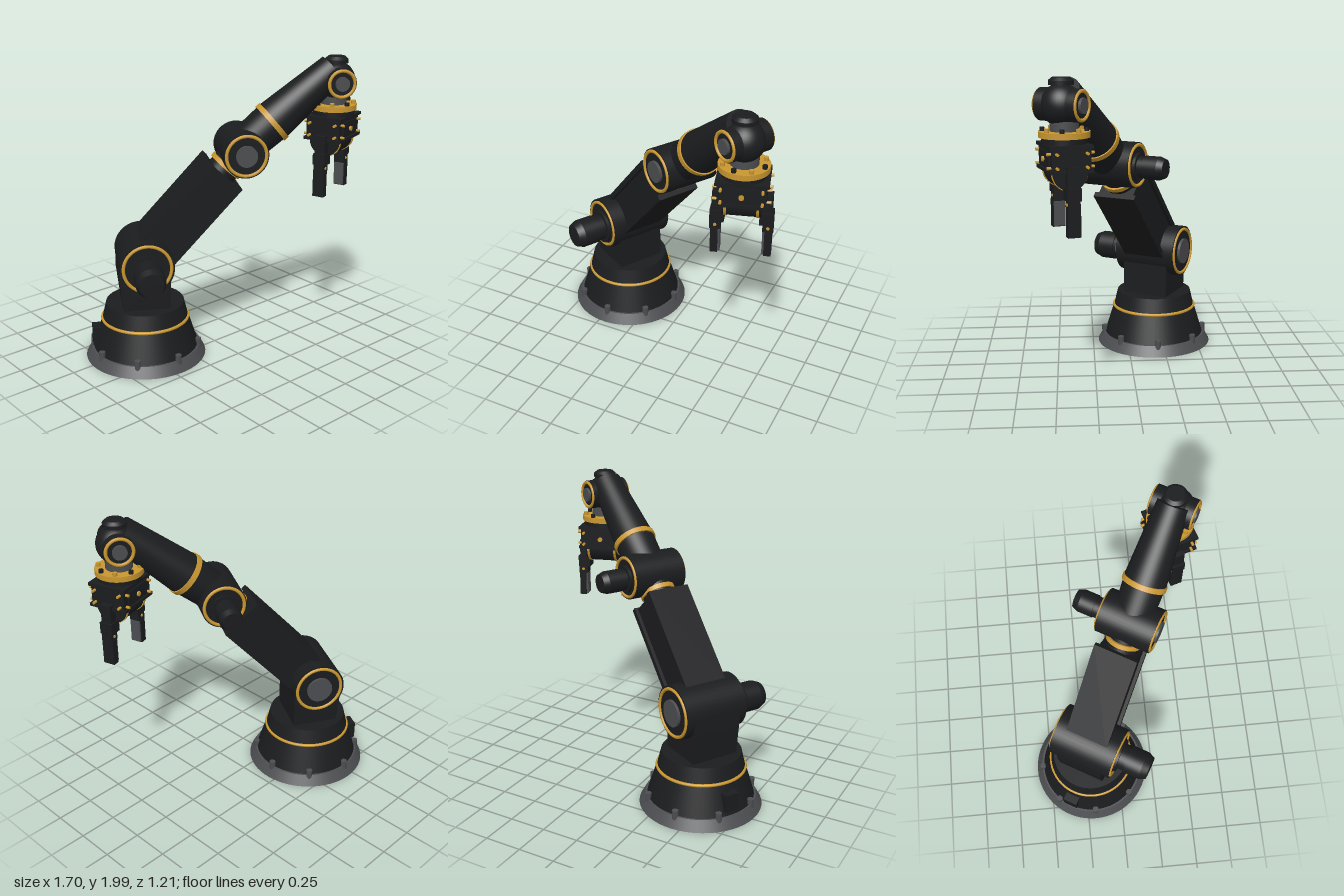
import * as THREE from 'three';

const dark = new THREE.MeshStandardMaterial({ color: 0x1b1c1e });
const gold = new THREE.MeshStandardMaterial({ color: 0xc8962f });
const grey = new THREE.MeshStandardMaterial({ color: 0x4c4d50 });

function add(parent, name, geometry, material, x = 0, y = 0, z = 0) {
  const mesh = new THREE.Mesh(geometry, material);
  mesh.name = name;
  mesh.position.set(x, y, z);
  parent.add(mesh);
  return mesh;
}

function group(parent, name, x = 0, y = 0, z = 0) {
  const g = new THREE.Group();
  g.name = name;
  g.position.set(x, y, z);
  parent.add(g);
  return g;
}

const box = (w, h, d) => new THREE.BoxGeometry(w, h, d);
// Cylinders between two stations along x, y or z; r0 is the radius at a.
function cyl(axis, r0, r1, a, b, sides = 40) {
  const g = new THREE.CylinderGeometry(r1, r0, b - a, sides);
  g.translate(0, (a + b) / 2, 0);
  if (axis === 'x') g.rotateZ(-Math.PI / 2);
  if (axis === 'z') g.rotateX(Math.PI / 2);
  return g;
}

// Joint drum across the arm, with a trim ring and hub cap at both ends.
function joint(parent, name, x, y, r, half, ringR, hubR) {
  const g = group(parent, name, x, y, 0);
  add(g, 'drum', cyl('z', r, r, -half, half), dark);
  for (const s of [-1, 1]) {
    add(g, 'trimRing', new THREE.TorusGeometry(ringR, 0.011, 10, 48), gold, 0, 0, s * half);
    add(g, 'hubCap', cyl('z', hubR, hubR, -0.018, 0.018), grey, 0, 0, s * half);
  }
  return g;
}

// Motor sticking out of a joint along +z or -z.
function motor(parent, y, r, start, end, side) {
  const g = group(parent, 'motor', 0, y, 0);
  if (side < 0) g.rotation.y = Math.PI;
  const len = end - start;
  add(g, 'motorCollar', cyl('z', r * 1.2, r * 1.2, start - 0.02, start + 0.02), dark);
  add(g, 'motorBody', cyl('z', r * 0.92, r * 0.92, start, end - 0.3 * len), dark);
  add(g, 'motorShell', cyl('z', r, r, start + 0.3 * len, end - 0.2 * len), dark);
  add(g, 'motorEnd', cyl('z', r, r * 0.8, end - 0.2 * len, end), dark);
}

function buildBase(root) {
  const base = group(root, 'base', -0.45, 0, -0.195);
  add(base, 'footFlange', cyl('y', 0.405, 0.365, 0, 0.07, 64), grey);
  add(base, 'lowerCone', cyl('y', 0.352, 0.29, 0.07, 0.27, 64), dark);
  add(base, 'upperCone', cyl('y', 0.288, 0.262, 0.27, 0.38, 64), dark);
  const ring = add(base, 'baseRing', new THREE.TorusGeometry(0.288, 0.011, 10, 64), gold, 0, 0.27, 0);
  ring.rotation.x = Math.PI / 2;
  for (let i = 0; i < 8; i++) {
    const a = i * Math.PI / 4;
    add(base, 'footBolt', cyl('y', 0.021, 0.021, 0.03, 0.11, 12), grey, 0.358 * Math.cos(a), 0, 0.358 * Math.sin(a));
  }
}

function buildArm(root) {
  // Everything above the base turns 30 degrees; the arm reaches along local x.
  const arm = group(root, 'turningArm', -0.45, 0, -0.195);
  arm.rotation.y = -Math.PI / 6;
  add(arm, 'connectorBox', box(0.1, 0.12, 0.1), dark, -0.31, 0.16, 0);

  // Pedestal, flaring backwards towards the shoulder
  const side = new THREE.Shape([[-0.155, 0.37], [0.155, 0.37], [0.155, 0.69], [-0.178, 0.69], [-0.178, 0.58]]
    .map(p => new THREE.Vector2(...p)));
  add(arm, 'pedestal', new THREE.ExtrudeGeometry(side, { depth: 0.33, bevelEnabled: false }), dark, 0, 0, -0.165);

  const shoulder = joint(arm, 'shoulder', 0, 0.69, 0.178, 0.22, 0.156, 0.088);
  motor(shoulder, -0.02, 0.098, 0.22, 0.45, 1);

  // Upper arm: core with a cover plate above and below
  const upper = group(arm, 'upperArm', 0, 0.69, 0);
  upper.rotation.z = 47.5 * Math.PI / 180;
  add(upper, 'armCore', box(0.76, 0.23, 0.25), dark, 0.39, 0, 0);
  for (const s of [-1, 1]) add(upper, 'coverPlate', box(0.7, 0.036, 0.295), dark, 0.43, s * 0.126, 0);
  add(upper, 'elbowNeck', cyl('x', 0.105, 0.105, 0.74, 0.92), dark);
  add(upper, 'neckRing', cyl('x', 0.118, 0.118, 0.805, 0.835), gold);

  const elbow = joint(arm, 'elbow', 0.65, 1.4, 0.147, 0.184, 0.13, 0.07);
  motor(elbow, -0.01, 0.075, 0.184, 0.38, -1);

  // Tapered forearm
  const forearm = group(arm, 'forearm', 0.65, 1.4, 0);
  forearm.rotation.z = 40 * Math.PI / 180;
  add(forearm, 'forearmCollar', cyl('x', 0.125, 0.135, 0, 0.26), dark);
  add(forearm, 'forearmRing', cyl('x', 0.145, 0.145, 0.25, 0.285), gold);
  add(forearm, 'forearmTube', cyl('x', 0.137, 0.102, 0.285, 0.785), dark);

  // Wrist with a round body and a cap on top
  const wrist = joint(arm, 'wrist', 1.275, 1.83, 0.097, 0.135, 0.084, 0.046);
  add(wrist, 'wristBall', new THREE.SphereGeometry(0.125, 40, 24), dark);
  add(wrist, 'capNeck', cyl('y', 0.055, 0.055, 0.08, 0.13), dark);
  add(wrist, 'topCap', cyl('y', 0.075, 0.075, 0.115, 0.14), dark);
  add(wrist, 'topCapRim', cyl('y', 0.075, 0.055, 0.14, 0.158), dark);
}

function buildGripper(root) {
  const g = group(root, 'gripper', 0.655, 0, 0.428);
  g.rotation.y = 17 * Math.PI / 180;
  add(g, 'wristStem', cyl('y', 0.085, 0.085, 1.68, 1.74), grey);
  add(g, 'goldFlange', cyl('y', 0.152, 0.152, 1.645, 1.68, 48), gold);
  add(g, 'lowerFlange', cyl('y', 0.135, 0.135, 1.6, 1.65, 48), dark);
  for (let i = 0; i < 8; i++) {
    const a = (i + 0.5) * Math.PI / 4;
    add(g, 'flangeBolt', cyl('y', 0.015, 0.015, 1.67, 1.702, 10), i % 2 ? gold : dark, 0.13 * Math.cos(a), 0, 0.13 * Math.sin(a));
  }

  // Square body between two plates
  add(g, 'gripperBody', box(0.285, 0.13, 0.235), dark, 0, 1.53, 0);
  add(g, 'topPlate', box(0.31, 0.02, 0.26), dark, 0, 1.6, 0);
  add(g, 'bottomPlate', box(0.31, 0.02, 0.26), dark, 0, 1.462, 0);
  for (const s of [-1, 1]) {
    add(g, 'bodyPanel', box(0.2, 0.09, 0.012), dark, 0, 1.53, s * 0.121);
    add(g, 'panelStud', cyl('z', 0.016, 0.016, -0.01, 0.01, 14), gold, 0, 1.525, s * 0.128);
    for (const y of [1.485, 1.565]) {
      for (const z of [-0.09, 0.09])
        add(g, 'sideBolt', cyl('x', 0.009, 0.009, -0.022, 0.022, 10), gold, s * 0.148, y, z);
      for (const x of [-0.12, 0.12])
        add(g, 'faceBolt', cyl('z', 0.009, 0.009, -0.02, 0.02, 10), gold, x, y, s * 0.122);
    }
  }

  // Drive drum below the body
  add(g, 'driveDrum', cyl('x', 0.105, 0.105, -0.115, 0.115), dark, 0, 1.45, 0);
  for (const s of [-1, 1]) {
    add(g, 'drumRing', cyl('x', 0.11, 0.11, -0.008, 0.008), gold, s * 0.095, 1.45, 0);

    // Fingers
    const f = group(g, 'finger', s * 0.15, 0, 0);
    add(f, 'fingerArm', box(0.055, 0.16, 0.07), dark, 0, 1.41, 0);
    add(f, 'fingerKnuckle', box(0.085, 0.075, 0.085), dark, -s * 0.004, 1.335, 0);
    add(f, 'fingerLink', box(0.065, 0.06, 0.07), dark, s * 0.006, 1.275, 0);
    add(f, 'fingerTip', box(0.045, 0.17, 0.078), dark, s * 0.01, 1.168, 0);
    add(f, 'gripPad', box(0.014, 0.15, 0.066), grey, -s * 0.018, 1.165, 0);
    add(f, 'fingerPin', cyl('z', 0.01, 0.01, -0.04, 0.04, 12), gold, s * 0.006, 1.275, 0);
  }
}

export function createModel() {
  const root = new THREE.Group();
  root.name = 'robotArm';
  buildBase(root);
  buildArm(root);
  buildGripper(root);
  return root;
}
